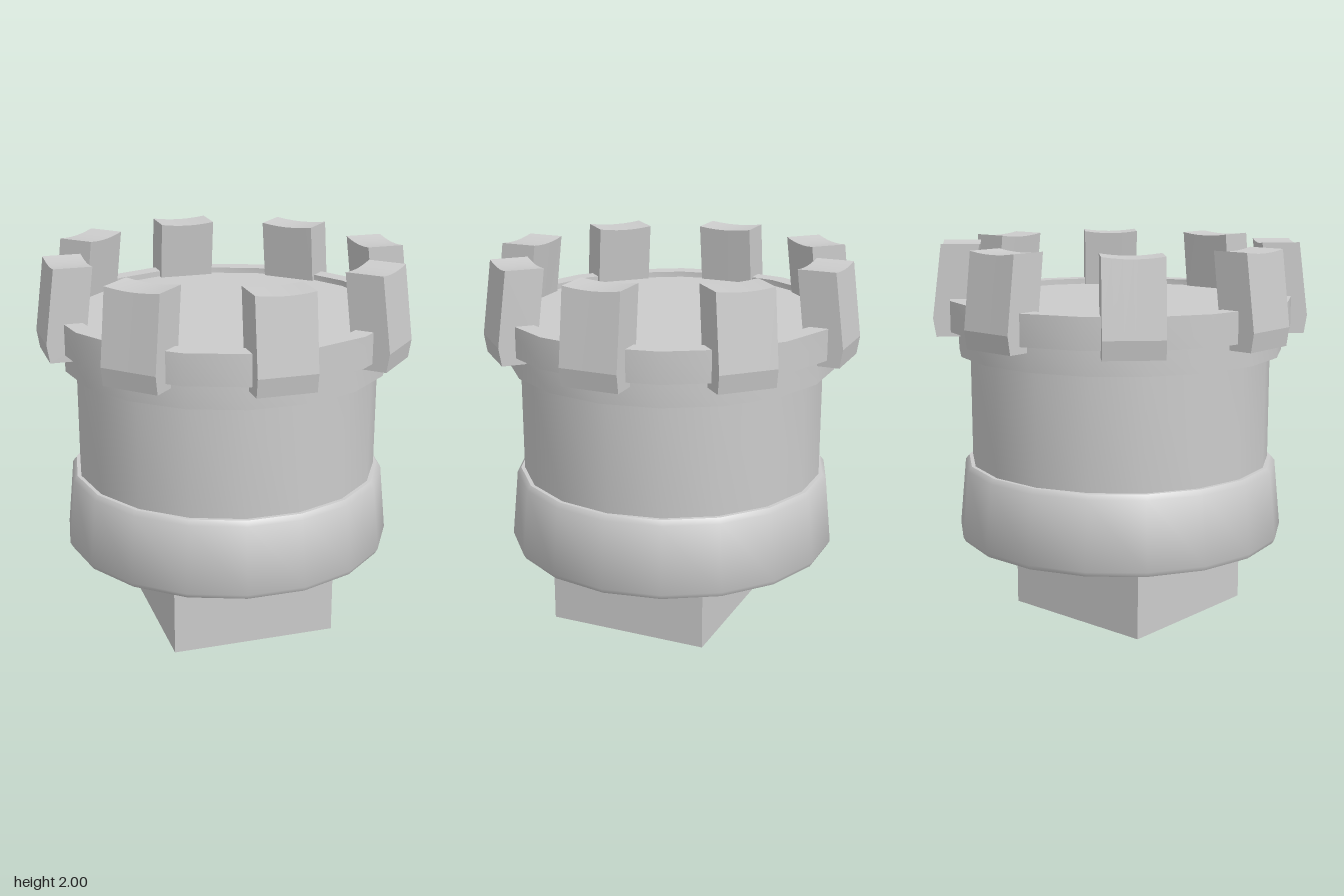
import * as THREE from 'three';
import { toCreasedNormals } from 'three/addons/utils/BufferGeometryUtils.js';

const SIDES = 18;
const material = new THREE.MeshStandardMaterial({ color: 0xcccccc });

function addMesh(parent, name, geometry) {
  const mesh = new THREE.Mesh(geometry, material);
  mesh.name = name;
  parent.add(mesh);
  return mesh;
}

// 18-sided turned part from [radius, height] pairs, with a corner on the x axis
function turned(profile) {
  const points = profile.map(([r, y]) => new THREE.Vector2(r, y));
  const lathe = new THREE.LatheGeometry(points, SIDES, Math.PI / SIDES, Math.PI * 2);
  return toCreasedNormals(lathe, 0.9);
}

// Leaning block with a bent outer face and a slightly hollowed top
function toothGeometry() {
  const width = 0.3;
  const shape = new THREE.Shape([
    [0.76, 1.525], [0.96, 1.525], [0.975, 1.62], [0.925, 2], [0.73, 2], [0.775, 1.62],
  ].map(([r, y]) => new THREE.Vector2(r, y)));
  const geometry = new THREE.ExtrudeGeometry(shape, { depth: width, steps: 6, bevelEnabled: false });
  geometry.translate(0, 0, -width / 2);
  const pos = geometry.attributes.position;
  for (let i = 0; i < pos.count; i++) {
    if (pos.getY(i) < 1.9) continue;
    const t = pos.getZ(i) / (width / 2);
    pos.setY(i, pos.getY(i) - 0.012 * (1 - t * t));
  }
  return toCreasedNormals(geometry, 0.2);
}

export function createModel() {
  const model = new THREE.Group();
  model.name = 'crownedTower';

  // Square peg, set slightly towards the front
  const peg = addMesh(model, 'squarePeg', new THREE.BoxGeometry(0.875, 0.87, 0.875));
  peg.position.set(0, 0.435, 0.075);

  // Hollow flared skirt
  addMesh(model, 'skirt', turned([
    [0.835, 0.44], [0.862, 0.44], [0.875, 0.465], [0.84, 0.82], [0.82, 0.845],
    [0.79, 0.845], [0.8, 0.8], [0.835, 0.44],
  ]));

  // Drum body
  addMesh(model, 'body', turned([[0, 0.83], [0.8, 0.83], [0.8, 1.44], [0, 1.44]]));

  // Stepped collar
  addMesh(model, 'collar', turned([[0, 1.43], [0.86, 1.43], [0.86, 1.57], [0, 1.57]]));

  // Top rim with a shallow recessed floor
  addMesh(model, 'rim', turned([
    [0, 1.56], [0.91, 1.56], [0.91, 1.72], [0.815, 1.72], [0.815, 1.69], [0, 1.69],
  ]));

  // Ring of eight teeth
  const teeth = new THREE.Group();
  teeth.name = 'teeth';
  const tooth = toothGeometry();
  for (let i = 0; i < 8; i++) {
    addMesh(teeth, 'tooth', tooth).rotation.y = (i * Math.PI) / 4;
  }
  model.add(teeth);

  return model;
}
